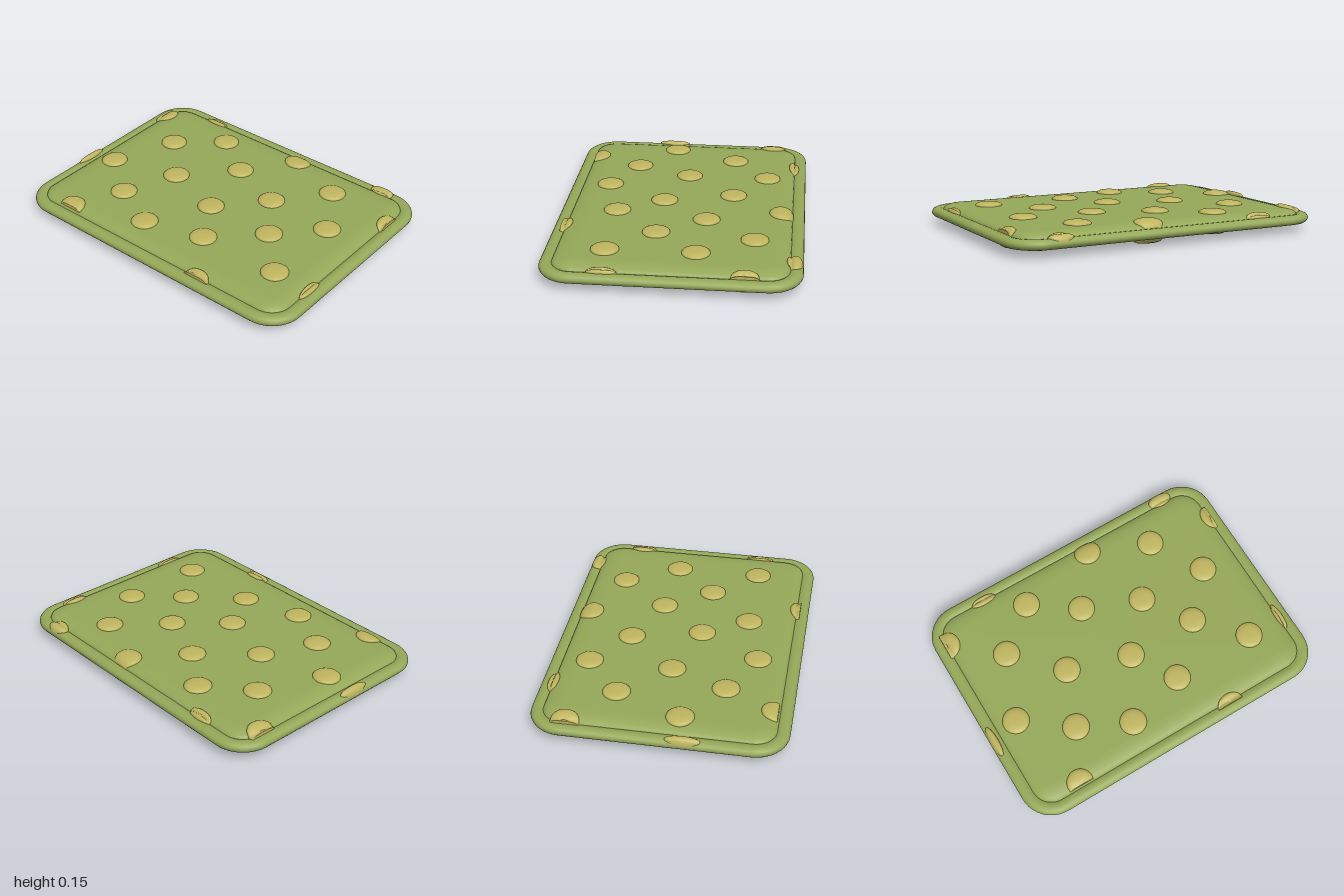
import * as THREE from 'three';

const HALF_X = 0.745, HALF_Z = 1, CORNER = 0.2, MID_Y = 0.075;

// Upper cross-section: [inset from the outer edge, height above the middle]
const RIM = [[0, 0], [0.003, 0.011], [0.01, 0.02], [0.023, 0.027], [0.04, 0.03], [0.058, 0.028], [0.073, 0.021]];
const PAD = [[0.073, 0.021], [0.077, 0.03], [0.09, 0.039], [0.115, 0.047], [0.145, 0.0515], [0.172, 0.053], [0.19, 0.053]];
const PROFILE = [...RIM, ...PAD.slice(1)];

// One rounded-rectangle outline, counter-clockwise from above
function ring(inset, y) {
  const points = [], r = CORNER - inset, steps = 10;
  const cx = HALF_X - CORNER, cz = HALF_Z - CORNER;
  const signs = [[1, -1], [-1, -1], [-1, 1], [1, 1]];
  signs.forEach(([sx, sz], corner) => {
    for (let i = 0; i <= steps; i++) {
      const a = (corner + i / steps) * Math.PI / 2;
      points.push([sx * cx + r * Math.cos(a), MID_Y + y, sz * cz - r * Math.sin(a)]);
    }
  });
  return points;
}

// Joins equal-length closed rings into a surface
function loft(rings, flip = false) {
  const n = rings[0].length, index = [];
  for (let i = 0; i < rings.length - 1; i++) {
    for (let j = 0; j < n; j++) {
      const a = i * n + j, b = i * n + (j + 1) % n, c = a + n, d = b + n;
      if (flip) index.push(a, c, b, b, c, d);
      else index.push(a, b, c, b, d, c);
    }
  }
  const geometry = new THREE.BufferGeometry();
  geometry.setAttribute('position', new THREE.Float32BufferAttribute(rings.flat(2), 3));
  geometry.setIndex(index);
  geometry.computeVertexNormals();
  return geometry;
}

// Surface height above the middle at a point on the mat
function surfaceHeight(x, z) {
  const qx = Math.abs(x) - HALF_X + CORNER, qz = Math.abs(z) - HALF_Z + CORNER;
  const inset = CORNER - Math.hypot(Math.max(qx, 0), Math.max(qz, 0)) - Math.min(Math.max(qx, qz), 0);
  if (inset <= 0) return 0;
  for (let i = 1; i < PROFILE.length; i++) {
    const [d0, y0] = PROFILE[i - 1], [d1, y1] = PROFILE[i];
    if (inset <= d1) return y0 + (y1 - y0) * (inset - d0) / (d1 - d0);
  }
  return PROFILE[PROFILE.length - 1][1];
}

// Low dome that follows the surface; limits cut it straight along the rim
function dotGeometry(x, z, rx, rz, side, limitX = 1, limitZ = 1) {
  const rings = [], count = 8, segments = 32;
  for (let k = count; k >= 0; k--) {
    const r = Math.sin(k / count * Math.PI / 2), points = [];
    for (let j = 0; j < segments; j++) {
      const a = j / segments * Math.PI * 2;
      const px = THREE.MathUtils.clamp(x + rx * r * Math.cos(a), -limitX, limitX);
      const pz = THREE.MathUtils.clamp(z - rz * r * Math.sin(a), -limitZ, limitZ);
      const bulge = k === count ? -0.006 : 0.021 * Math.sqrt(1 - r ** 3);
      points.push([px, MID_Y + side * (surfaceHeight(px, pz) + bulge), pz]);
    }
    rings.push(points);
  }
  return loft(rings, side < 0);
}

// Whole dots: [x, z], repeated on both faces
const DOTS = [
  [-0.12, -0.8], [0.28, -0.64], [-0.34, -0.51], [0, -0.375], [0.5, -0.375],
  [-0.49, -0.2], [0.3, -0.095], [-0.12, 0.01], [-0.39, 0.175], [0.16, 0.26],
  [-0.12, 0.455], [0.46, 0.505], [-0.385, 0.7], [0.135, 0.695],
];

// Dots at the border: [x, z, radius x, radius z, both faces, limit x, limit z]
const EDGE_DOTS = [
  [-0.645, -0.66, 0.082, 0.082, true, 0.662],
  [-0.69, 0.37, 0.06, 0.085, true, 0.694],
  [0.61, 0.13, 0.08, 0.085, true, 0.675],
  [0.425, 0.935, 0.082, 0.06, true, 1, 0.942],
  [0.52, -0.925, 0.085, 0.08, false, 1, 0.943],
  [0.668, -0.59, 0.032, 0.083, false],
  [0.695, 0.72, 0.046, 0.077, false],
  [-0.37, 0.932, 0.09, 0.024, false],
  [-0.16, -0.973, 0.103, 0.026, false],
];

export function createModel() {
  const green = new THREE.MeshStandardMaterial({ color: 0x95a858 });
  green.name = 'mossGreen';
  const yellow = new THREE.MeshStandardMaterial({ color: 0xbfb55f });
  yellow.name = 'mustardYellow';

  const group = new THREE.Group();
  group.name = 'spottedMat';
  const add = (name, geometry, material, parent = group) => {
    const mesh = new THREE.Mesh(geometry, material);
    mesh.name = name;
    parent.add(mesh);
  };

  // Rolled border, from its lower crease around to its upper crease
  const lowerRim = RIM.slice(1).reverse().map(([d, y]) => ring(d, -y));
  add('rim', loft([...lowerRim, ...RIM.map(([d, y]) => ring(d, y))]), green);

  // Cushioned faces inside the border
  for (const side of [1, -1]) {
    const rings = PAD.map(([d, y]) => ring(d, side * y));
    const centre = [0, MID_Y + side * PAD[PAD.length - 1][1], 0];
    rings.push(rings[0].map(() => centre));
    add(side > 0 ? 'topPad' : 'bottomPad', loft(rings, side < 0), green);
  }

  // Raised spots
  for (const side of [1, -1]) {
    const dots = new THREE.Group();
    dots.name = side > 0 ? 'topDots' : 'bottomDots';
    group.add(dots);
    for (const [x, z] of DOTS) add('dot', dotGeometry(x, z, 0.083, 0.083, side), yellow, dots);
    for (const [x, z, rx, rz, both, limitX, limitZ] of EDGE_DOTS) {
      if (side > 0 || both) add('edgeDot', dotGeometry(x, z, rx, rz, side, limitX, limitZ), yellow, dots);
    }
  }
  return group;
}
